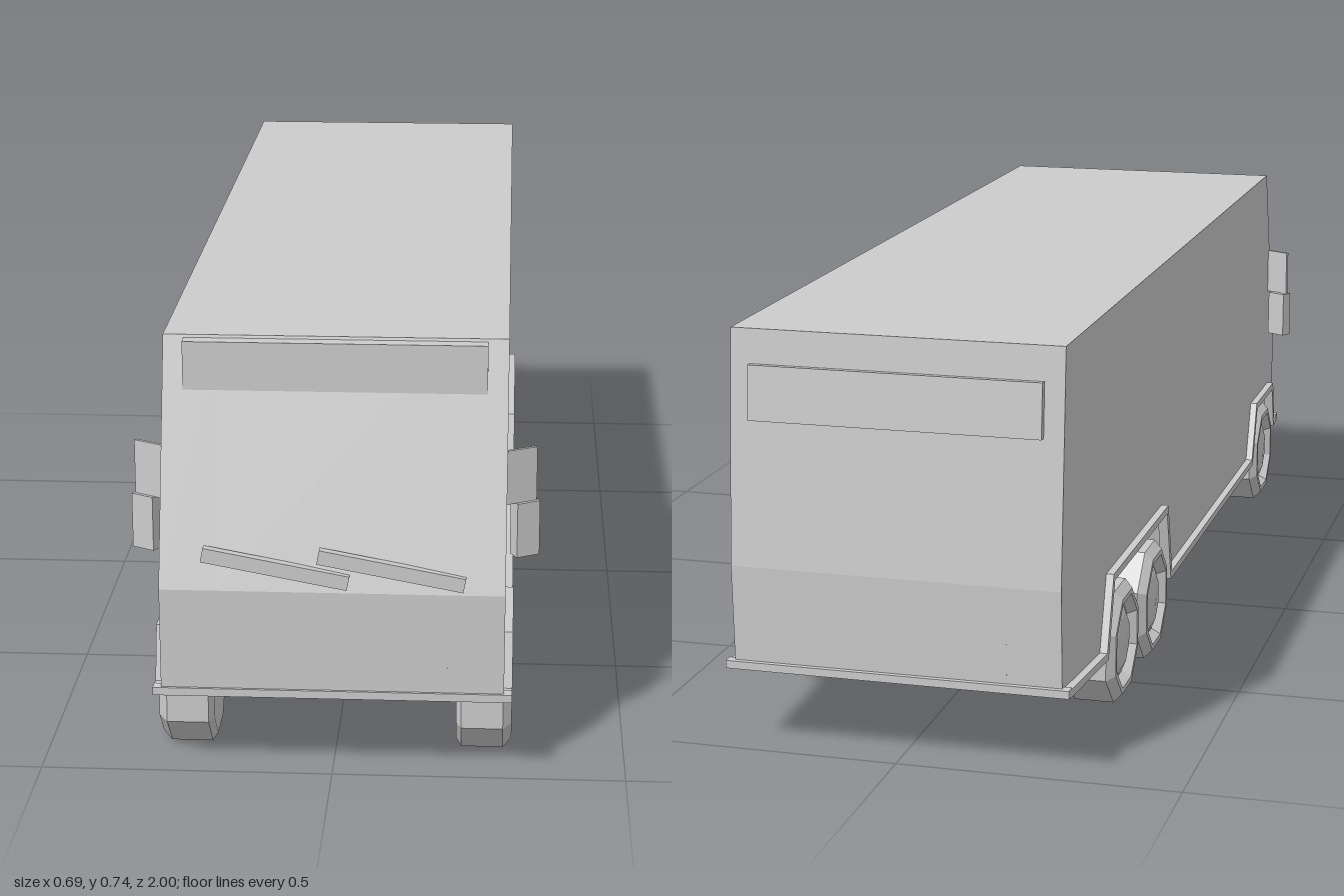
import * as THREE from 'three';

const paint = new THREE.MeshStandardMaterial({ color: 0xcccccc, flatShading: true });
paint.name = 'plain grey';

// Extrude a side profile given as [z, y] points between two x positions
function sideExtrude(points, x0, x1) {
  const shape = new THREE.Shape(points.map(p => new THREE.Vector2(p[0], p[1])));
  const g = new THREE.ExtrudeGeometry(shape, { depth: x1 - x0, bevelEnabled: false });
  g.rotateY(-Math.PI / 2);
  g.translate(x1, 0, 0);
  return g;
}

// Mitred offset of an open polyline
function offsetPath(path, d) {
  const normal = (a, b) => new THREE.Vector2(a[1] - b[1], b[0] - a[0]).normalize();
  return path.map((p, i) => {
    const n0 = normal(path[Math.max(i - 1, 0)], path[Math.max(i, 1)]);
    const last = path.length - 1;
    const n1 = normal(path[Math.min(i, last - 1)], path[Math.min(i + 1, last)]);
    const m = n0.clone().add(n1).normalize();
    m.multiplyScalar(d / m.dot(n0));
    return [p[0] + m.x, p[1] + m.y];
  });
}

export function createModel() {
  const model = new THREE.Group();
  model.name = 'bus';

  const add = (name, geometry, parent = model) => {
    const mesh = new THREE.Mesh(geometry, paint);
    mesh.name = name;
    parent.add(mesh);
    return mesh;
  };
  const box = (name, w, h, d, x, y, z, parent = model) => {
    const mesh = add(name, new THREE.BoxGeometry(w, h, d), parent);
    mesh.position.set(x, y, z);
    return mesh;
  };

  // Lower edge of the sides, front to back, stepping over the wheel arches
  const sill = [
    [0.995, 0.146], [0.955, 0.141], [0.928, 0.234], [0.727, 0.234], [0.68, 0.114],
    [-0.188, 0.114], [-0.229, 0.258], [-0.674, 0.258], [-0.72, 0.125], [-0.99, 0.15],
  ];
  const upper = [[-0.998, 0.33], [-0.968, 0.74], [0.87, 0.74], [0.997, 0.33]];

  // Body: full-depth centre and two side slabs with open wheel wells
  const floor = [[0.995, 0.14], [0.68, 0.108], [-0.72, 0.12], [-0.99, 0.148]];
  add('bodyCentre', sideExtrude([...floor, ...upper], -0.195, 0.195));
  add('bodyLeftSide', sideExtrude([...sill, ...upper], 0.195, 0.291));
  add('bodyRightSide', sideExtrude([...sill, ...upper], -0.291, -0.195));

  // Raised trim along sills and arches, joined by front and rear bars
  const trim = [...offsetPath(sill, 0.007), ...offsetPath(sill, -0.007).reverse()];
  add('leftSillTrim', sideExtrude(trim, 0.286, 0.305));
  add('rightSillTrim', sideExtrude(trim, -0.305, -0.286));
  box('frontBumperTrim', 0.61, 0.014, 0.02, 0, 0.146, 0.99);
  box('rearBumperTrim', 0.61, 0.014, 0.02, 0, 0.152, -0.99);

  // Panels above the windscreen and on the back
  box('destinationPanel', 0.512, 0.092, 0.045, 0, 0.689, 0.875);
  const rearPanel = box('rearPanel', 0.512, 0.095, 0.02, 0, 0.633, -0.98);
  rearPanel.rotation.x = 0.073;

  // Wipers
  for (const x of [-0.095, 0.1]) {
    const wiper = box('wiper', 0.25, 0.025, 0.016, x, 0.37, 0.99);
    wiper.rotation.z = -0.185;
  }

  // Door mirrors: a flat bracket above an angled housing
  for (const side of [-1, 1]) {
    const mirror = new THREE.Group();
    mirror.name = side > 0 ? 'leftMirror' : 'rightMirror';
    model.add(mirror);
    const bracket = box('mirrorBracket', 0.058, 0.095, 0.006, side * 0.314, 0.512, 0.903, mirror);
    const housing = box('mirrorHousing', 0.043, 0.096, 0.025, side * 0.322, 0.417, 0.895, mirror);
    bracket.rotation.y = housing.rotation.y = side * 0.5;
  }

  // Eight-sided wheels; profile is [flat radius, distance from centre line]
  const profile = [
    [0, 0.209], [0.092, 0.209], [0.105, 0.218], [0.105, 0.29], [0.09, 0.305],
    [0.08, 0.305], [0.069, 0.288],
  ].map(([r, y]) => new THREE.Vector2(r / Math.cos(Math.PI / 8), y));
  const tyre = new THREE.LatheGeometry(profile, 8, Math.PI / 8);
  tyre.rotateZ(-Math.PI / 2);
  const hub = new THREE.LatheGeometry(
    [[0.076, 0.287], [0.05, 0.298], [0, 0.303]].map(p => new THREE.Vector2(...p)), 8, Math.PI / 8);
  hub.rotateZ(-Math.PI / 2);
  for (const z of [0.83, -0.32, -0.57]) {
    for (const side of [-1, 1]) {
      const wheel = new THREE.Group();
      wheel.name = (z > 0 ? 'front' : 'rear') + (side > 0 ? 'LeftWheel' : 'RightWheel');
      wheel.position.set(0, 0.105, z);
      wheel.rotation.y = side > 0 ? 0 : Math.PI;
      add('tyre', tyre, wheel);
      add('hub', hub, wheel);
      model.add(wheel);
    }
  }
  return model;
}
